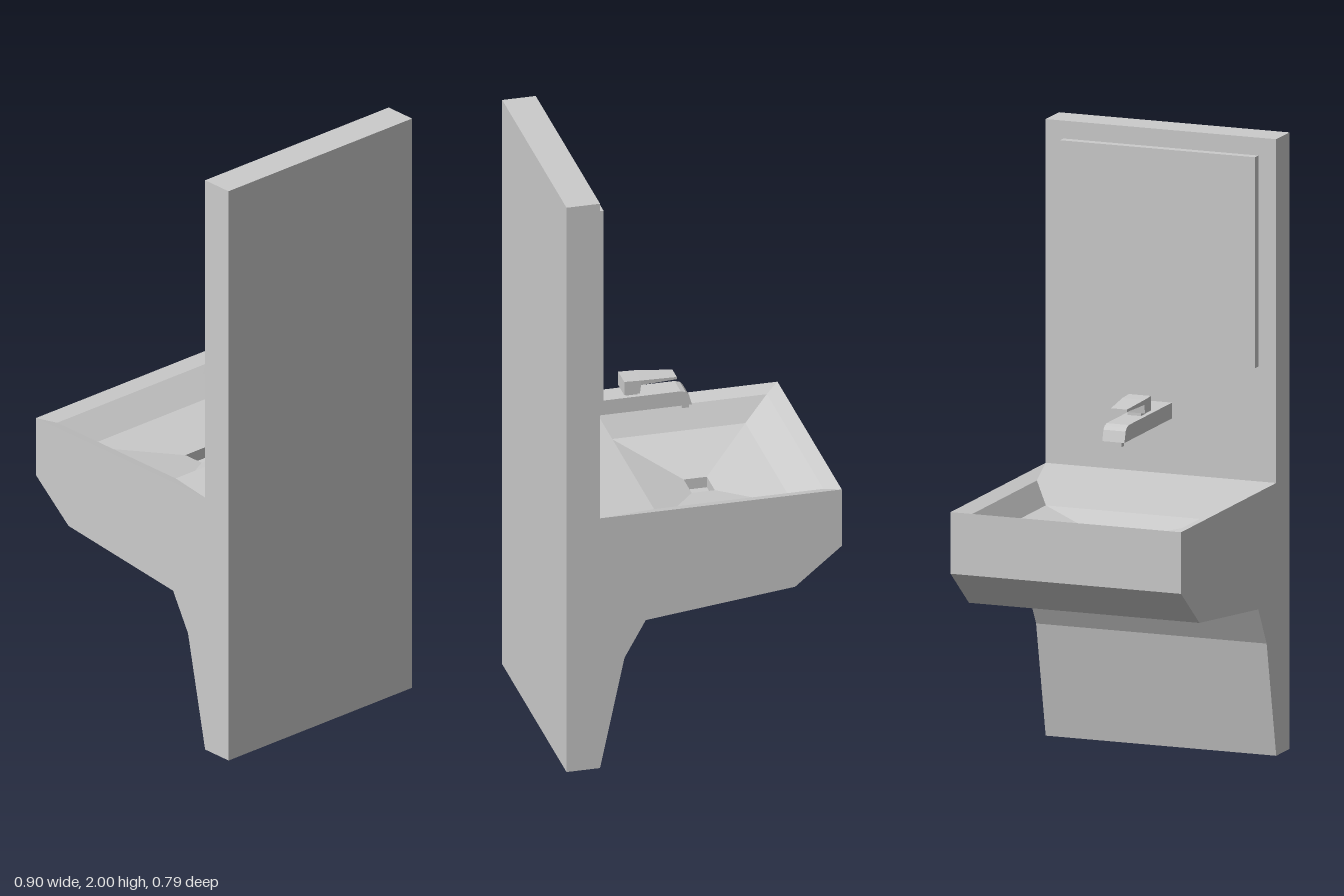
import * as THREE from 'three';

const material = new THREE.MeshStandardMaterial({ color: 0xcccccc, flatShading: true });

function add(group, name, geometry) {
  const mesh = new THREE.Mesh(geometry, material);
  mesh.name = name;
  group.add(mesh);
  return mesh;
}

// Side profile (x, y) extruded symmetrically along z
function extrudeProfile(points, width) {
  const shape = new THREE.Shape(points.map(([x, y]) => new THREE.Vector2(x, y)));
  const g = new THREE.ExtrudeGeometry(shape, { depth: width, bevelEnabled: false });
  return g.translate(0, 0, -width / 2);
}

function box(x0, x1, y0, y1, width) {
  return new THREE.BoxGeometry(x1 - x0, y1 - y0, width)
    .translate((x0 + x1) / 2, (y0 + y1) / 2, 0);
}

// Drops the triangles lying flat at height y, leaving an opening
function openAt(geometry, y) {
  const p = geometry.attributes.position;
  const kept = [];
  for (let i = 0; i < p.count; i += 3) {
    const flat = [0, 1, 2].every((k) => Math.abs(p.getY(i + k) - y) < 1e-4);
    if (flat) continue;
    for (let k = 0; k < 3; k++) kept.push(p.getX(i + k), p.getY(i + k), p.getZ(i + k));
  }
  return fromTriangles(kept);
}

function fromTriangles(coords) {
  const g = new THREE.BufferGeometry();
  g.setAttribute('position', new THREE.Float32BufferAttribute(coords, 3));
  g.computeVertexNormals();
  return g;
}

// Nested rectangular rings [x0, x1, halfZ, y], joined from outside in and closed at the last
function rectangularBowl(rings) {
  const corners = rings.map(([x0, x1, h, y]) => [[x0, y, h], [x1, y, h], [x1, y, -h], [x0, y, -h]]);
  const out = [];
  const quad = (a, b, c, d) => out.push(...a, ...b, ...c, ...a, ...c, ...d);
  for (let r = 0; r < corners.length - 1; r++) {
    for (let i = 0; i < 4; i++) {
      const j = (i + 1) % 4;
      quad(corners[r][i], corners[r][j], corners[r + 1][j], corners[r + 1][i]);
    }
  }
  quad(...corners[corners.length - 1]);
  return fromTriangles(out);
}

export function createModel() {
  const group = new THREE.Group();
  group.name = 'washbasinUnit';
  const width = 0.79, deck = 0.885;

  // Back panel, pedestal and basin shell in one profile
  const body = extrudeProfile([
    [0.45, 0], [0.45, 2], [0.34, 2], [0.34, deck], [-0.453, deck], [-0.453, 0.685],
    [-0.3, 0.56], [0.19, 0.505], [0.26, 0.38], [0.34, 0],
  ], width);
  add(group, 'panelAndPedestal', openAt(body, deck));

  // Sloping rim, steep walls, shallow floor and square drain
  add(group, 'basin', rectangularBowl([
    [-0.453, 0.34, width / 2, deck],
    [-0.405, 0.15, 0.347, 0.87],
    [-0.323, 0.115, 0.302, 0.8],
    [-0.129, -0.053, 0.049, 0.757],
    [-0.129, -0.053, 0.049, 0.72],
  ]));

  add(group, 'mirror', box(0.312, 0.34, 1.258, 1.942, 0.668));

  // Tap
  const tap = new THREE.Group();
  tap.name = 'tap';
  group.add(tap);
  add(tap, 'spout', extrudeProfile([
    [-0.057, 1.065], [0.34, 1.065], [0.34, 1.116], [-0.02, 1.116],
    [-0.037, 1.111], [-0.047, 1.1],
  ], 0.076));
  add(tap, 'spoutOutlet', box(-0.05, -0.027, 1.049, 1.065, 0.05));
  add(tap, 'handleNeck', box(0.117, 0.157, 1.116, 1.126, 0.045));

  // Lever narrows towards its free end
  const lever = extrudeProfile([
    [-0.01, 1.155], [0.11, 1.155], [0.114, 1.126], [0.165, 1.126],
    [0.165, 1.173], [0.11, 1.171], [-0.01, 1.163],
  ], 0.076);
  const p = lever.attributes.position;
  for (let i = 0; i < p.count; i++) {
    const t = Math.min(1, (p.getX(i) + 0.01) / 0.12);
    p.setZ(i, p.getZ(i) * (0.72 + 0.28 * t));
  }
  lever.computeVertexNormals();
  add(tap, 'handleLever', lever);

  return group;
}
